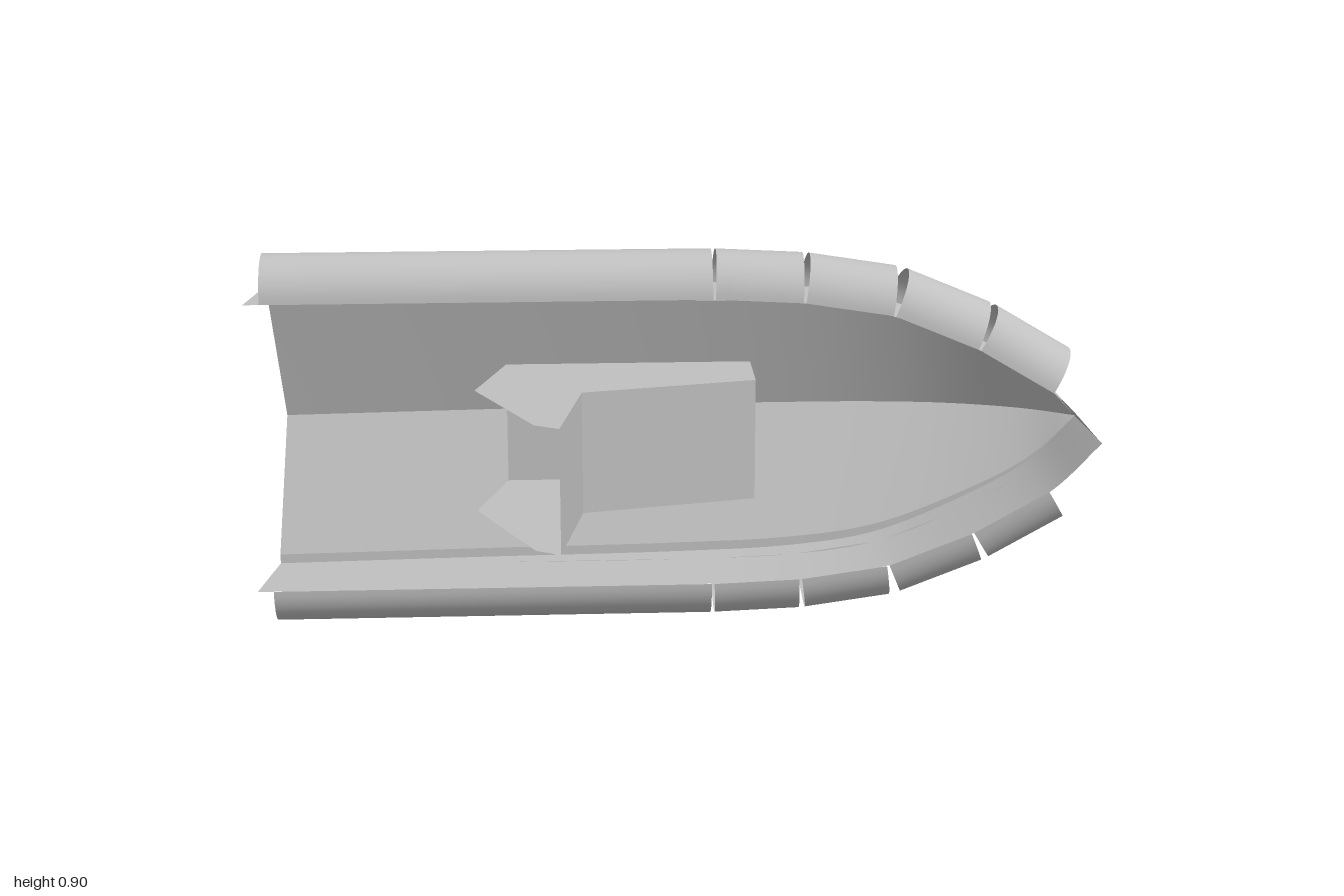
import * as THREE from 'three';

const MID = 0.45; // height of the boat's centre plane (it lies on its side)

export function createModel() {
  const boat = new THREE.Group();
  boat.name = 'inflatableBoat';
  const grey = new THREE.MeshStandardMaterial({ color: 0xc0c0c0, side: THREE.DoubleSide });
  grey.name = 'plain grey';

  function add(name, geometry, parent = boat) {
    const mesh = new THREE.Mesh(geometry, grey);
    mesh.name = name;
    parent.add(mesh);
    return mesh;
  }

  // Surface through a list of equally long point rows
  function loft(rows) {
    const n = rows[0].length, index = [];
    for (let r = 0; r < rows.length - 1; r++)
      for (let i = 0; i < n - 1; i++) {
        const a = r * n + i, b = a + n;
        index.push(a, a + 1, b, a + 1, b + 1, b);
      }
    const geo = new THREE.BufferGeometry().setFromPoints(rows.flat());
    geo.setIndex(index);
    geo.computeVertexNormals();
    return geo;
  }

  // Stations: x, half width, gunwale z, chine z, keel z
  const stations = [
    [-1, 0.35, 0, -0.2, -0.3],
    [-0.5, 0.35, 0, -0.222, -0.327],
    [0, 0.35, 0, -0.24, -0.35],
    [0.29, 0.34, 0.005, -0.244, -0.355],
    [0.5, 0.308, 0.011, -0.24, -0.35],
    [0.7, 0.228, 0.02, -0.231, -0.325],
    [0.885, 0.12, 0.031, -0.212, -0.267],
    [1, 0, 0.04, -0.195, -0.2],
  ];
  const line = (place) =>
    new THREE.CatmullRomCurve3(stations.map((s) => new THREE.Vector3(...place(s)))).getPoints(42);

  // Joints of the half tubes: x, half width, centre z
  const joints = [
    [-0.965, 0.35, -0.09],
    [0.085, 0.35, -0.09],
    [0.295, 0.34, -0.085],
    [0.505, 0.308, -0.079],
    [0.705, 0.226, -0.07],
    [0.885, 0.12, -0.061],
  ];

  for (const side of [1, -1]) {
    const half = new THREE.Group();
    half.name = side > 0 ? 'upperHalf' : 'lowerHalf';
    boat.add(half);

    // Open hull shell: V bottom, narrow chine flat and side wall
    const keel = line(([x, , , , k]) => [-0.945 + (x + 1) * 0.965, MID, k]);
    const chineX = (x) => -0.967 + (x + 1) * 0.976;
    const chineIn = line(([x, w, , c]) => [chineX(x), MID + side * w * 0.935, c]);
    const chineOut = line(([x, w, , c]) => [chineX(x), MID + side * w, c]);
    const gunwale = line(([x, w, g]) => [x, MID + side * w, g]);
    add('hullBottom', loft([keel, chineIn]), half);
    add('chineFlat', loft([chineIn, chineOut]), half);
    add('hullSide', loft([chineOut, gunwale]), half);

    // Straight half tubes, leaving wedge gaps on the outside of the bend
    for (let j = 0; j < joints.length - 1; j++) {
      const [a, b] = [joints[j], joints[j + 1]];
      const dir = new THREE.Vector2(b[0] - a[0], b[1] - a[1]).normalize();
      const trim = 0.003;
      const ends = [[a, trim], [b, -trim]].map(([p, t]) => {
        const ring = [];
        for (let i = 0; i <= 20; i++) {
          const angle = (i / 20) * Math.PI;
          const out = 0.1 * Math.sin(angle);
          ring.push(new THREE.Vector3(
            p[0] + dir.x * t - dir.y * out,
            MID + side * (p[1] + dir.y * t + dir.x * out),
            p[2] + 0.091 * Math.cos(angle)));
        }
        return ring;
      });
      add('tubeSection' + (j + 1), loft(ends), half);
    }
  }

  // Console, open at the back: side profile in x and z
  const profile = [
    [-0.473, 0.03], [-0.334, 0.32], [-0.278, 0.352], [-0.225, 0.06],
    [0.185, -0.03], [0.185, -0.2], [-0.404, -0.2],
  ].map(([x, z]) => new THREE.Vector2(x, z));
  const consoleGroup = new THREE.Group();
  consoleGroup.name = 'console';
  boat.add(consoleGroup);
  const [low, high] = [0.305, 0.598];
  for (const y of [low, high]) {
    const plate = add('consoleSide', new THREE.ShapeGeometry(new THREE.Shape(profile)), consoleGroup);
    plate.rotation.x = Math.PI / 2;
    plate.position.y = y;
  }
  const names = ['consoleFront', 'consoleTop', 'consoleEnd', 'consoleFloor'];
  names.forEach((name, i) => {
    const rows = [low, high].map((y) =>
      [profile[i + 2], profile[i + 3]].map((p) => new THREE.Vector3(p.x, y, p.y)));
    add(name, loft(rows), consoleGroup);
  });

  return boat;
}
